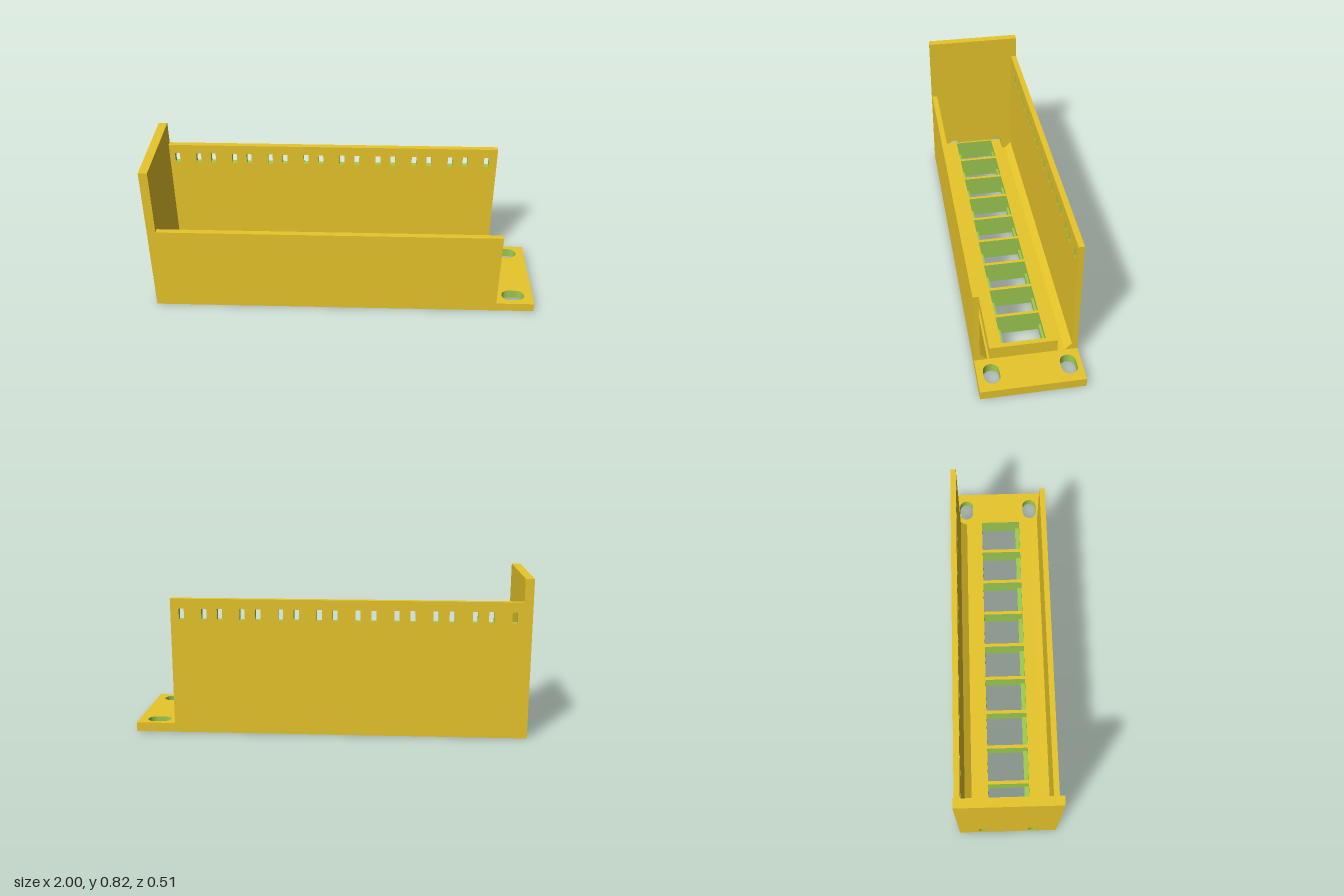
import * as THREE from 'three';

const yellow = new THREE.MeshStandardMaterial({ color: 0xedcb2c });
yellow.name = 'yellow plastic';
const green = new THREE.MeshStandardMaterial({ color: 0x9dcb51 });
green.name = 'green cut faces';

const PORTS = 9, PITCH = 0.193, PORT_W = 0.175, PORT_X = -0.944;
const X0 = -0.955, X1 = 0.8;

// Extrude a counter-clockwise outline; hole walls and the listed outline edges are green.
// Edge i runs from point i - 1 to point i.
function extrude(points, depth, holes = [], greenEdges = []) {
  const toVec = (list) => list.map(([x, y]) => new THREE.Vector2(x, y));
  const shape = new THREE.Shape(toVec(points));
  for (const h of holes) shape.holes.push(new THREE.Path(toVec(h)));
  const g = new THREE.ExtrudeGeometry(shape, { depth, bevelEnabled: false });
  const caps = g.groups[0].count, total = g.attributes.position.count, n = points.length;
  g.clearGroups();
  g.addGroup(0, caps, 0);
  // Side faces are stored as edges 1, 2, ... n - 1, 0
  for (let k = 0; k < n; k++) {
    g.addGroup(caps + k * 6, 6, greenEdges.includes((k + 1) % n) ? 1 : 0);
  }
  if (holes.length) g.addGroup(caps + n * 6, total - caps - n * 6, 1);
  return g;
}

const rect = (x0, y0, x1, y1) => [[x0, y0], [x1, y0], [x1, y1], [x0, y1]];

// Round-ended slot, hx and hy being its half sizes
function slot(cx, cy, hx, hy, steps = 12) {
  const r = Math.min(hx, hy), points = [];
  for (let end = 0; end < 2; end++) {
    for (let i = 0; i <= steps; i++) {
      const a = Math.PI * (end + i / steps) - (hx > hy ? Math.PI / 2 : 0);
      const s = end ? -1 : 1;
      points.push([cx + s * (hx > hy ? hx - r : 0) + r * Math.cos(a),
        cy + s * (hy > hx ? hy - r : 0) + r * Math.sin(a)]);
    }
  }
  return points;
}

export function createModel() {
  const model = new THREE.Group();
  const add = (name, geometry, x = 0, y = 0, z = 0, mats = [yellow, green]) => {
    const mesh = new THREE.Mesh(geometry, mats);
    mesh.name = name;
    mesh.position.set(x, y, z);
    model.add(mesh);
  };
  // Section given as [z, y], running along x
  const rail = (name, profile, greenEdges) => {
    const g = extrude(profile.map(([z, y]) => [-z, y]), X1 - X0, [], greenEdges);
    add(name, g.rotateY(Math.PI / 2), X0);
  };

  // Low front wall with floor, chamfer and the front side of the port frame
  rail('frontWallAndRail', [
    [0.255, 0], [0.095, 0], [0.095, 0.03], [0.14, 0.03], [0.14, 0.085], [0.118, 0.085],
    [0.118, 0.117], [0.18, 0.117], [0.18, 0.047], [0.19, 0.047], [0.226, 0.083],
    [0.226, 0.467], [0.255, 0.467],
  ], [2, 3, 4, 5, 6]);

  // Floor, chamfer and the rear side of the port frame
  rail('backRail', [
    [-0.1, 0], [-0.226, 0], [-0.226, 0.083], [-0.19, 0.047], [-0.155, 0.047],
    [-0.155, 0.117], [-0.1, 0.117], [-0.1, 0.085], [-0.13, 0.085], [-0.13, 0.03], [-0.1, 0.03],
  ].map(([z, y]) => [z, y]), [7, 8, 9, 10, 0]);

  // Tall back wall with a pair of tie slots for each port
  const tieSlots = [];
  for (let i = 0; i < PORTS; i++) {
    const c = PORT_X + PORT_W / 2 + i * PITCH;
    for (const s of [-1, 1]) {
      const x = c + s * 0.057;
      tieSlots.push(rect(x - 0.013, 0.595, x + 0.013, 0.65));
    }
  }
  add('backWall', extrude(rect(X0, 0, X1, 0.7), 0.029, tieSlots), 0, 0, -0.255);

  // Dividers between the ports
  for (let i = 0; i <= PORTS; i++) {
    const a = i === 0 ? X0 : PORT_X + (i - 1) * PITCH + PORT_W;
    const b = i === PORTS ? X1 : PORT_X + i * PITCH;
    const right = i === PORTS ? yellow : green;
    add('portDivider', new THREE.BoxGeometry(b - a, 0.117, 0.27), (a + b) / 2, 0.0585, 0.005,
      [right, green, yellow, yellow, yellow, yellow]);
  }

  // Mounting flange with two slots
  const flange = extrude(rect(X1, -0.255, 1, 0.255), 0.047,
    [slot(0.895, 0.191, 0.06, 0.039), slot(0.895, -0.184, 0.06, 0.039)]);
  add('mountingFlange', flange.rotateX(-Math.PI / 2));

  // End plate with two slots that widen towards the inside
  const centres = [-0.129, 0.129], midY = 0.08;
  const plate = extrude(rect(-0.255, 0, 0.255, 0.817), 0.045,
    centres.map((u) => slot(u, midY, 0.025, 0.035)));
  const p = plate.attributes.position;
  for (let i = 0; i < p.count; i++) {
    if (p.getZ(i) < 0.02) continue;
    for (const u of centres) {
      const du = p.getX(i) - u, dv = p.getY(i) - midY;
      if (Math.hypot(du, dv) < 0.045) {
        p.setXY(i, u + du * 1.5, midY + dv * 1.5);
        break;
      }
    }
  }
  plate.computeVertexNormals();
  add('endPlate', plate.rotateY(Math.PI / 2), -1);

  return model;
}
